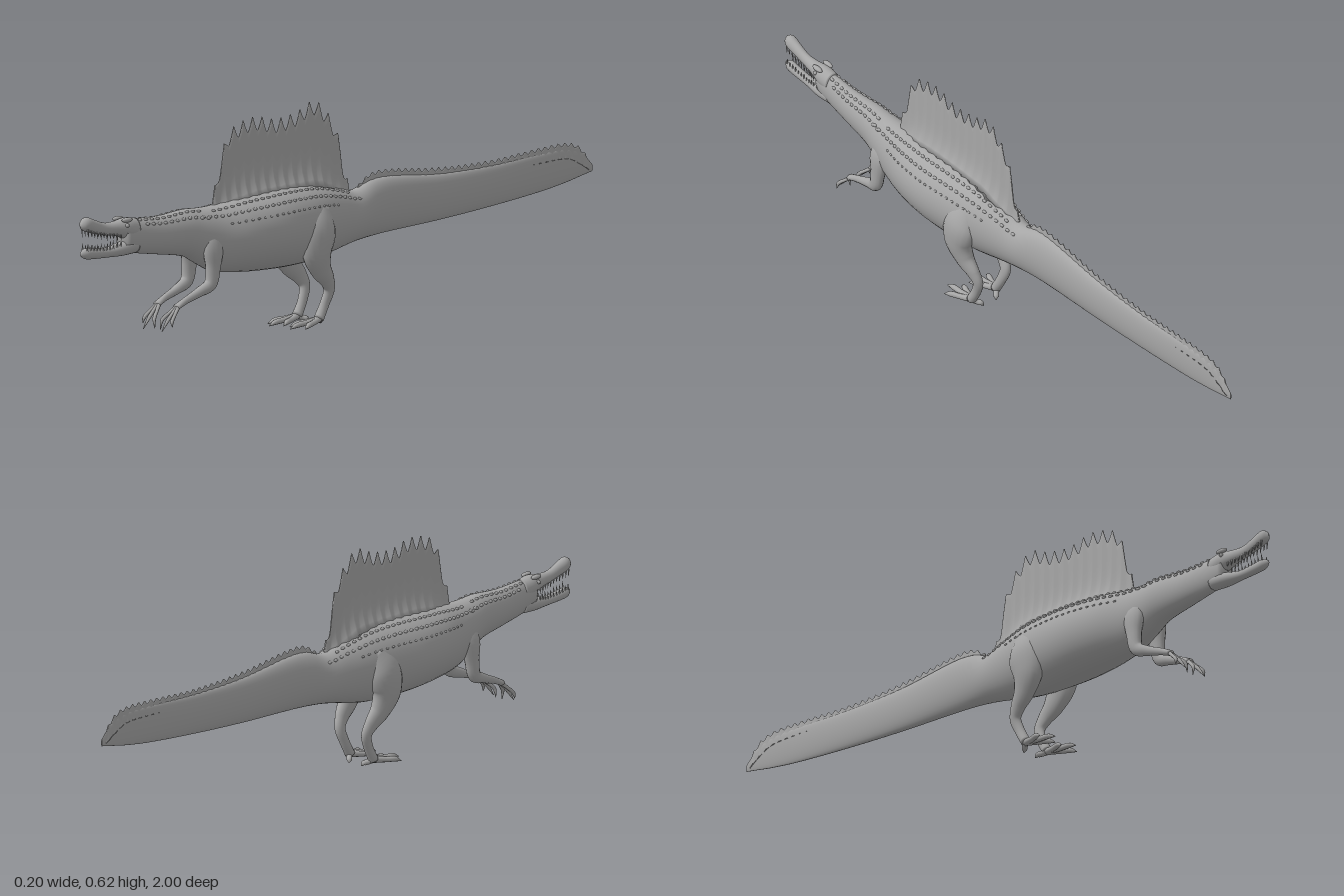
import * as THREE from 'three';
import { mergeGeometries } from 'three/addons/utils/BufferGeometryUtils.js';

const hide = new THREE.MeshStandardMaterial({ color: 0xa6a6a6 });
hide.name = 'grey hide';
const V = (x, y, z) => new THREE.Vector3(x, y, z);

// Smooth interpolation of rows [z, a, b, ...] with z ascending
function track(keys) {
  const slope = (i, c) => {
    const a = keys[Math.max(i - 1, 0)], b = keys[Math.min(i + 1, keys.length - 1)];
    return (b[c] - a[c]) / (b[0] - a[0]);
  };
  return (z) => {
    let i = 0;
    while (i < keys.length - 2 && z > keys[i + 1][0]) i++;
    const p = keys[i], q = keys[i + 1], h = q[0] - p[0];
    const t = Math.min(1, Math.max(0, (z - p[0]) / h)), t2 = t * t, t3 = t2 * t;
    return p.slice(1).map((v, k) => (2 * t3 - 3 * t2 + 1) * v + (3 * t2 - 2 * t3) * q[k + 1]
      + h * ((t3 - 2 * t2 + t) * slope(i, k + 1) + (t3 - t2) * slope(i + 1, k + 1)));
  };
}

// Skin over closed rings of points, with both ends capped
function loft(rings) {
  const n = rings[0].length, pos = [], idx = [];
  rings.forEach((r) => r.forEach((p) => pos.push(p.x, p.y, p.z)));
  for (let i = 0; i < rings.length - 1; i++) {
    for (let j = 0; j < n; j++) {
      const a = i * n + j, b = i * n + (j + 1) % n;
      idx.push(a, b, a + n, b, b + n, a + n);
    }
  }
  [0, rings.length - 1].forEach((e) => {
    const c = rings[e].reduce((s, p) => s.add(p), V(0, 0, 0)).divideScalar(n);
    const k = pos.length / 3;
    pos.push(c.x, c.y, c.z);
    for (let j = 0; j < n; j++) {
      const a = e * n + j, b = e * n + (j + 1) % n;
      if (e) idx.push(a, b, k); else idx.push(b, a, k);
    }
  });
  const g = new THREE.BufferGeometry();
  g.setAttribute('position', new THREE.Float32BufferAttribute(pos, 3));
  g.setIndex(idx);
  g.computeVertexNormals();
  return g;
}

// Oval point on a section given as [top, bottom, half width]
function oval([top, bottom, w], z, a) {
  const mid = (top + bottom) / 2;
  return V(w * Math.cos(a), mid + (top - mid) * Math.sin(a), z);
}

function hull(keys, steps, sides = 28) {
  const at = track(keys), z0 = keys[0][0], z1 = keys[keys.length - 1][0];
  return loft(Array.from({ length: steps + 1 }, (_, i) => {
    const z = z0 + (z1 - z0) * i / steps, s = at(z);
    return Array.from({ length: sides }, (_, j) => oval(s, z, j / sides * Math.PI * 2));
  }));
}

// Tapering limb through rows [x, y, z, sideways radius, other radius]
function limb(rows, side = 1, steps = 32, sides = 14) {
  const curve = new THREE.CatmullRomCurve3(rows.map((r) => V(r[0] * side, r[1], r[2])));
  const radii = track(rows.map((r, i) => [i / (rows.length - 1), r[3], r[4] ?? r[3]]));
  return loft(Array.from({ length: steps + 1 }, (_, i) => {
    const t = i / steps, c = curve.getPoint(t), d = curve.getTangent(t);
    const s = V(1, 0, 0).addScaledVector(d, -d.x).normalize(), o = d.clone().cross(s);
    const [rs, ro] = radii(t);
    return Array.from({ length: sides }, (_, j) => {
      const a = j / sides * Math.PI * 2;
      return c.clone().addScaledVector(s, rs * Math.cos(a)).addScaledVector(o, ro * Math.sin(a));
    });
  }));
}

// Ribbed fin with a notched edge; rows are [z, base, top]
function fin(keys, pitch, notch, thick, flare, steps) {
  const at = track(keys), z0 = keys[0][0], z1 = keys[keys.length - 1][0], m = 10;
  return loft(Array.from({ length: steps + 1 }, (_, i) => {
    const z = z0 + (z1 - z0) * i / steps, [base, top] = at(z);
    const f = (((z - z0) / pitch) % 1 + 1) % 1, s = Math.pow(1 - Math.abs(2 * f - 1), 1.3);
    const end = Math.min(1, 5 * i / steps, 5 * (1 - i / steps));
    const h = Math.max(0.002, top - base - notch * (1 - s));
    const half = Array.from({ length: m + 1 }, (_, j) => {
      const v = j / m;
      const x = thick * (0.6 + 0.4 * s) * (1 - 0.75 * v) + flare * end * Math.pow(1 - v, 6);
      return V(x, base + h * v, z);
    });
    return [...half, ...half.map((p) => V(-p.x, p.y, p.z)).reverse()];
  }));
}

// Cone from a root to a tip
function spike(root, tip, r) {
  const d = tip.clone().sub(root), g = new THREE.ConeGeometry(r, d.length(), 6);
  g.translate(0, d.length() / 2, 0);
  g.applyQuaternion(new THREE.Quaternion().setFromUnitVectors(V(0, 1, 0), d.normalize()));
  return g.translate(root.x, root.y, root.z);
}

const bodyKeys = [
  [-1, .325, .305, .002], [-.96, .36, .297, .004], [-.9, .377, .285, .006], [-.8, .375, .27, .009],
  [-.6, .364, .25, .014], [-.4, .364, .235, .02], [-.2, .38, .225, .03], [-.13, .376, .22, .036],
  [-.06, .356, .212, .045], [0, .37, .2, .055], [.1, .392, .18, .076], [.2, .397, .173, .089],
  [.3, .393, .173, .095], [.4, .385, .178, .085], [.49, .374, .19, .063], [.55, .373, .218, .052],
  [.6, .375, .243, .045], [.7, .367, .26, .035], [.78, .37, .272, .027], [.84, .37, .285, .023]];
const upperKeys = [
  [.79, .372, .31, .024], [.83, .377, .318, .026], [.87, .371, .33, .019], [.91, .371, .336, .014],
  [.95, .384, .345, .015], [.98, .394, .353, .017], [.995, .388, .36, .011], [1, .378, .366, .003]];
const lowerKeys = [
  [.79, .32, .275, .022], [.84, .312, .272, .022], [.9, .301, .273, .014], [.96, .305, .275, .014],
  [.985, .307, .278, .013], [1, .299, .287, .004]];

export function createModel() {
  const model = new THREE.Group();
  const add = (name, geometry) => {
    const mesh = new THREE.Mesh(geometry, hide);
    mesh.name = name;
    model.add(mesh);
  };

  // Body, jaws
  add('body', hull(bodyKeys, 140, 36));
  add('upperJaw', hull(upperKeys, 36));
  add('lowerJaw', hull(lowerKeys, 30));

  // Back sail and tail crest
  add('sail', fin([[-.06, .34, .352], [-.03, .35, .42], [-.012, .355, .5], [.02, .36, .565],
    [.085, .38, .62], [.16, .385, .597], [.24, .385, .587], [.32, .38, .602], [.405, .37, .582],
    [.435, .365, .55], [.465, .36, .46], [.495, .355, .376]], .037, .04, .007, .022, 210));
  add('tailCrest', fin([[-.985, .31, .345], [-.95, .33, .38], [-.9, .35, .395], [-.8, .35, .393],
    [-.6, .34, .38], [-.4, .34, .382], [-.2, .355, .4], [-.13, .35, .395], [-.07, .335, .36]],
    .026, .011, .006, .003, 280));

  // Rows of bony scutes along the back and neck
  const at = track(bodyKeys), scutes = [];
  [[.8, -.06, .56], [1.1, -.02, .53], [.5, .05, .48], [1.15, .56, .8], [.75, .54, .78]].forEach(([a, z0, z1]) => {
    for (let z = z0; z < z1; z += .022) {
      [a, Math.PI - a].forEach((b) => {
        const p = oval(at(z), z, b), g = new THREE.SphereGeometry(1, 7, 5);
        const r = a < .6 ? .0035 : .005;
        scutes.push(g.scale(r * .9, r * .9, r * 1.5).translate(p.x, p.y, p.z));
      });
    }
  });
  add('scutes', mergeGeometries(scutes));

  // Teeth along both jaws
  const up = track(upperKeys), low = track(lowerKeys), teeth = [];
  for (let i = 0; i < 11; i++) {
    const z = .86 + i * .0125, u = up(z), l = low(z), len = .009 + .006 * (i % 3 === 1) + .004 * (i > 7);
    [-1, 1].forEach((s) => {
      teeth.push(spike(V(s * u[2] * .7, u[1] + .006, z), V(s * u[2] * .75, u[1] - len, z - .002), .003));
      teeth.push(spike(V(s * l[2] * .7, l[0] - .006, z), V(s * l[2] * .8, l[0] + len * .8, z - .002), .003));
    });
  }
  add('teeth', mergeGeometries(teeth));

  [[1, 'left'], [-1, 'right']].forEach(([s, side]) => {
    // Eye under a brow ridge
    add(side + 'Eye', new THREE.SphereGeometry(.006, 12, 8).translate(s * .023, .358, .842));
    add(side + 'Brow', new THREE.SphereGeometry(1, 14, 10).scale(.008, .007, .02).translate(s * .018, .373, .838));

    // Arm with three clawed fingers
    add(side + 'Arm', limb([[.03, .31, .51, .014, .03], [.042, .265, .525, .02, .036],
      [.046, .21, .53, .017, .025], [.046, .165, .54, .016, .02], [.042, .146, .58, .013, .014],
      [.04, .128, .63, .009, .01], [.038, .113, .665, .012, .008]], s));
    add(side + 'Fingers', mergeGeometries([[.057, .062, .7], [.036, .05, .72], [.011, .052, .7]].map(([x, y, z]) =>
      limb([[.038, .122, .65, .006], [.038 + (x - .038) * .5, .098, .678, .005],
        [.038 + (x - .038) * .85, .078, .698, .005], [x, y, z, .0008]], s, 14, 8))));

    // Hind leg with clawed toes
    add(side + 'Leg', limb([[.048, .335, .11, .02, .035], [.062, .275, .132, .034, .058],
      [.066, .215, .142, .03, .052], [.06, .165, .122, .023, .036], [.054, .13, .092, .016, .025],
      [.048, .1, .077, .013, .018], [.043, .06, .09, .012, .015], [.042, .02, .112, .015, .014]], s, 44, 18));
    add(side + 'Toes', mergeGeometries([[.012, .195], [.041, .222], [.073, .195], [.022, .085]].map(([x, z]) =>
      limb([[.042, .02, .11, .01], [.042 + (x - .042) * .45, .014, .11 + (z - .11) * .45, .008],
        [.042 + (x - .042) * .8, .011, .11 + (z - .11) * .78, .0075], [x, .003, z, .001]], s, 16, 8))));
  });
  return model;
}
